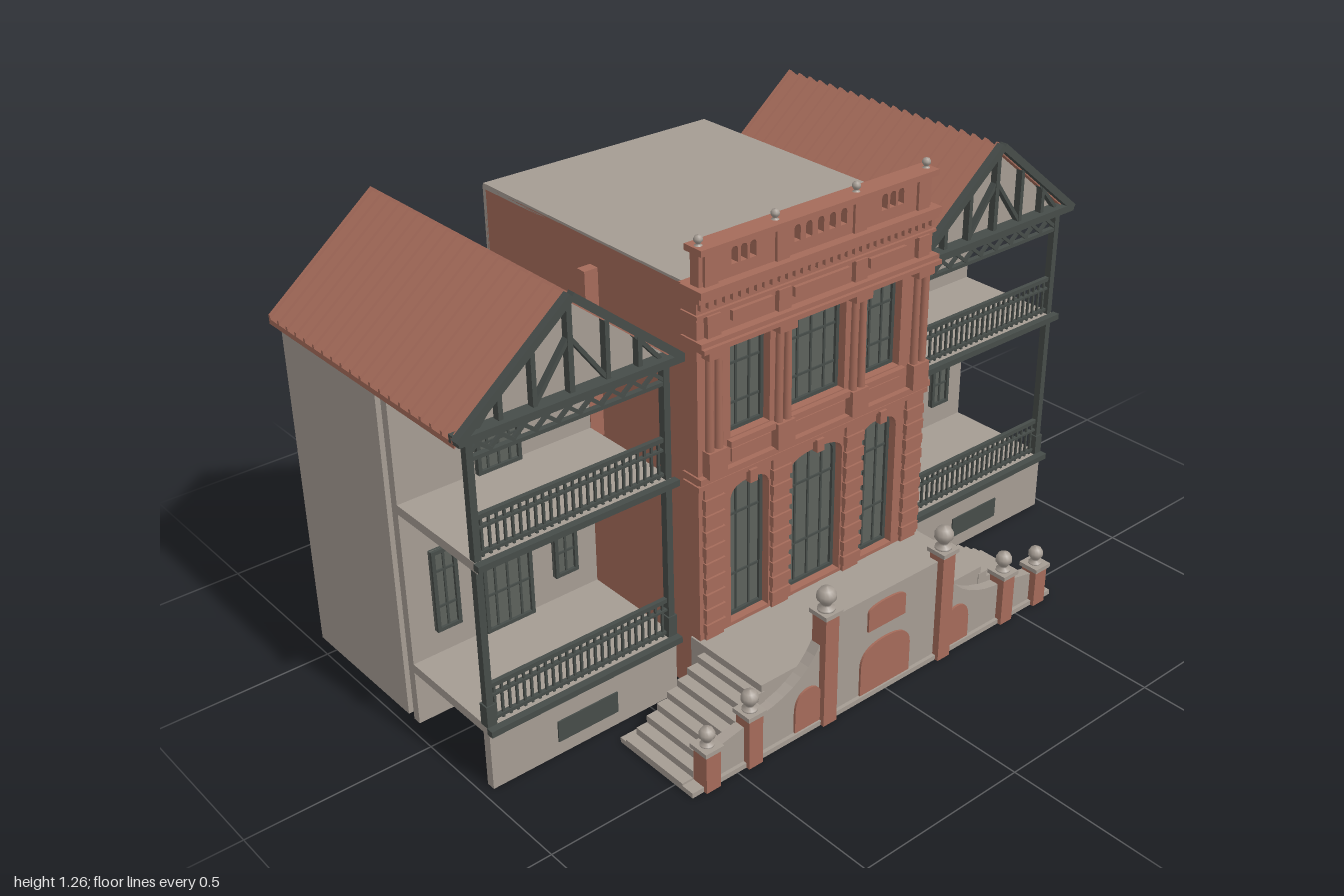
import * as THREE from 'three';

const mat = (name, color) => Object.assign(new THREE.MeshStandardMaterial({ color }), { name });
const brick = mat('brick', 0xa56b5a), stone = mat('stone', 0xa59c93);
const iron = mat('dark iron', 0x464c49), glass = mat('window glass', 0x5d615c);

function add(parent, name, geometry, material) {
  const mesh = new THREE.Mesh(geometry, material);
  mesh.name = name;
  parent.add(mesh);
  return mesh;
}
function group(parent, name) {
  const g = new THREE.Group();
  g.name = name;
  parent.add(g);
  return g;
}
// Box given by its limits on each axis
function box(parent, name, m, x0, x1, y0, y1, z0, z1) {
  const mesh = add(parent, name, new THREE.BoxGeometry(x1 - x0, y1 - y0, z1 - z0), m);
  mesh.position.set((x0 + x1) / 2, (y0 + y1) / 2, (z0 + z1) / 2);
  return mesh;
}
// Bar between two points of an upright plane
function bar(parent, name, m, x0, y0, x1, y1, t, z0, z1) {
  const mesh = add(parent, name, new THREE.BoxGeometry(Math.hypot(x1 - x0, y1 - y0), t, z1 - z0), m);
  mesh.position.set((x0 + x1) / 2, (y0 + y1) / 2, (z0 + z1) / 2);
  mesh.rotation.z = Math.atan2(y1 - y0, x1 - x0);
}
function extrude(parent, name, m, shape, z0, z1) {
  const geo = new THREE.ExtrudeGeometry(shape, { depth: z1 - z0, bevelEnabled: false, curveSegments: 10 });
  return add(parent, name, geo.translate(0, 0, z0), m);
}
function polygon(points) {
  return new THREE.Shape(points.map(([x, y]) => new THREE.Vector2(x, y)));
}
// Rectangle with a curved head
function arch(x, y, w, h, rise, Type = THREE.Shape) {
  const s = new Type(), a = x - w / 2, b = x + w / 2;
  s.moveTo(a, y);
  s.lineTo(b, y);
  s.lineTo(b, y + h - rise);
  if (rise) s.bezierCurveTo(b, y + h - rise * 0.3, x + w * 0.3, y + h, x, y + h);
  else s.lineTo(b, y + h);
  if (rise) s.bezierCurveTo(x - w * 0.3, y + h, a, y + h - rise * 0.3, a, y + h - rise);
  else s.lineTo(a, y + h);
  s.closePath();
  return s;
}
// Glazed opening with iron frame and glazing bars
function glazing(parent, name, x, y, w, h, rise, z, columns) {
  const g = group(parent, name);
  extrude(g, 'glass', glass, arch(x, y, w, h, rise), z, z + 0.006);
  const frame = arch(x, y, w, h, rise);
  frame.holes.push(arch(x, y + 0.01, w - 0.02, h - 0.02, rise * 0.9, THREE.Path));
  extrude(g, 'frame', iron, frame, z - 0.004, z + 0.014);
  for (let i = 1; i < columns; i++) {
    const bx = x - w / 2 + w * i / columns;
    box(g, 'glazingBar', iron, bx - 0.003, bx + 0.003, y, y + h - rise * 0.6, z, z + 0.01);
  }
  for (const f of [0.3, 0.74]) box(g, 'transom', iron, x - w / 2, x + w / 2, y + h * f - 0.003, y + h * f + 0.003, z, z + 0.01);
}
function railing(parent, x0, x1, y, z) {
  const g = group(parent, 'railing');
  for (const [a, b] of [[0.008, 0.016], [0.075, 0.081], [0.1, 0.112]]) box(g, 'rail', iron, x0, x1, y + a, y + b, z - 0.006, z + 0.006);
  const n = 26;
  for (let i = 0; i <= n; i++) {
    const x = x0 + (x1 - x0) * i / n;
    box(g, 'baluster', iron, x - 0.003, x + 0.003, y, y + 0.105, z - 0.003, z + 0.003);
  }
}
// Roof section, raised by d over its base slope
function chevron(d, t) {
  const w = 0.308;
  return polygon([[-w, 0.95 + d], [-w, 0.95 + d - t], [0, 1.2 + d - t], [w, 0.95 + d - t], [w, 0.95 + d], [0, 1.2 + d]]);
}

function wing(parent, name, x) {
  const g = group(parent, name);
  g.position.x = x;
  box(g, 'rearBody', stone, -0.28, 0.28, 0, 0.945, -0.575, -0.145);
  box(g, 'verandaBackWall', stone, -0.28, 0.28, 0, 0.945, -0.12, -0.095);
  box(g, 'baseWall', stone, -0.28, 0.28, 0, 0.165, 0.205, 0.23);
  box(g, 'vent', iron, -0.09, 0.09, 0.04, 0.1, 0.23, 0.234);
  box(g, 'verandaCeiling', stone, -0.28, 0.28, 0.94, 0.95, -0.145, 0.23);
  for (const y of [0.18, 0.635]) {
    box(g, 'verandaFloor', stone, -0.28, 0.28, y - 0.025, y, -0.095, 0.235);
    box(g, 'floorEdge', iron, -0.285, 0.285, y - 0.015, y + 0.002, 0.23, 0.25);
    railing(g, -0.27, 0.27, y, 0.215);
  }
  // Doors and sidelights
  glazing(g, 'lowerDoor', 0, 0.18, 0.145, 0.355, 0.03, -0.093, 4);
  glazing(g, 'upperDoor', 0, 0.635, 0.125, 0.265, 0, -0.093, 4);
  box(g, 'lowerDoorBack', iron, -0.07, 0.07, 0.2, 0.53, -0.13, -0.12);
  box(g, 'upperDoorBack', iron, -0.06, 0.06, 0.64, 0.9, -0.13, -0.12);
  for (const s of [-1, 1]) {
    glazing(g, 'sidelight', s * 0.177, 0.25, 0.07, 0.23, 0, -0.093, 2);
    // Posts
    box(g, 'post', iron, s * 0.27 - 0.009, s * 0.27 + 0.009, 0.18, 0.95, 0.207, 0.227);
    box(g, 'postBase', iron, s * 0.27 - 0.013, s * 0.27 + 0.013, 0.18, 0.24, 0.203, 0.231);
    // Gable timbers
    bar(g, 'bargeboard', iron, s * 0.308, 0.953, 0, 1.203, 0.02, 0.228, 0.25);
    for (const [px, top] of [[0.1, 1.11], [0.19, 1.04]]) box(g, 'stud', iron, s * px - 0.006, s * px + 0.006, 0.96, top, 0.215, 0.235);
    bar(g, 'brace', iron, s * 0.1, 0.965, 0, 1.1, 0.01, 0.215, 0.233);
    bar(g, 'brace', iron, s * 0.25, 0.965, s * 0.18, 1.045, 0.01, 0.215, 0.233);
  }
  box(g, 'kingPost', iron, -0.007, 0.007, 0.96, 1.2, 0.215, 0.235);
  box(g, 'tieBeam', iron, -0.308, 0.308, 0.945, 0.965, 0.21, 0.25);
  box(g, 'friezeBeam', iron, -0.27, 0.27, 0.887, 0.897, 0.21, 0.225);
  // Lattice frieze
  for (let i = 0; i < 9; i++) {
    const a = -0.27 + i * 0.06, b = a + 0.06;
    bar(g, 'lattice', iron, a, 0.897, b, 0.945, 0.009, 0.21, 0.218);
    bar(g, 'lattice', iron, a, 0.945, b, 0.897, 0.009, 0.218, 0.225);
  }
  extrude(g, 'gableWall', stone, polygon([[-0.29, 0.95], [0.29, 0.95], [0, 1.187]]), 0.195, 0.21);
  // Roof with standing seams
  extrude(g, 'roof', brick, chevron(0, 0.014), -0.575, 0.23);
  for (let i = 0; i < 20; i++) extrude(g, 'roofSeam', brick, chevron(0.01, 0.014), -0.575 + i * 0.0418, -0.567 + i * 0.0418);
}

function finial(parent, x, y, z, r) {
  const profile = [[0, 0], [r * 0.9, 0], [r * 0.9, r * 0.3], [r * 0.45, r * 0.5], [r * 0.55, r * 0.8], [r, r * 1.35],
    [r, r * 1.85], [r * 0.7, r * 2.4], [0, r * 2.65]].map(([a, b]) => new THREE.Vector2(a, b));
  add(parent, 'ballFinial', new THREE.LatheGeometry(profile, 14), stone).position.set(x, y, z);
}

function facade(parent) {
  const g = group(parent, 'brickFacade');
  const bays = [[-0.222, 0.125, 3], [0, 0.18, 4], [0.222, 0.125, 3]];
  const wall = polygon([[-0.385, 0], [0.385, 0], [0.385, 1.14], [-0.385, 1.14]]);
  for (const [x, w, n] of bays) {
    wall.holes.push(arch(x, 0.19, w, 0.4, 0.04, THREE.Path), arch(x, 0.725, w, 0.24, 0, THREE.Path));
    glazing(g, 'lowerWindow', x, 0.19, w, 0.4, 0.04, 0.255, n);
    glazing(g, 'upperWindow', x, 0.725, w, 0.24, 0, 0.255, n);
    box(g, 'windowSill', brick, x - w / 2 - 0.01, x + w / 2 + 0.01, 0.705, 0.722, 0.29, 0.308);
    box(g, 'sillPanel', brick, x - w / 2, x + w / 2, 0.66, 0.695, 0.29, 0.298);
    box(g, 'upperPanel', brick, x - w / 2, x + w / 2, 1.035, 1.06, 0.29, 0.302);
    box(g, 'keystone', brick, x - 0.012, x + 0.012, 0.585, 0.62, 0.29, 0.308);
  }
  extrude(g, 'wall', brick, wall, 0.23, 0.292);
  // Piers below, paired columns above
  for (const x of [-0.343, -0.125, 0.125, 0.343]) {
    const w = 0.028;
    box(g, 'lowerPier', brick, x - w, x + w, 0, 0.62, 0.29, 0.3);
    for (let i = 0; i < 9; i++) box(g, 'quoin', brick, x - w - 0.003, x + w + 0.003, 0.2 + i * 0.045, 0.227 + i * 0.045, 0.29, 0.306);
    box(g, 'columnPedestal', brick, x - w, x + w, 0.65, 0.72, 0.29, 0.318);
    for (const s of [-1, 1]) {
      const c = add(g, 'column', new THREE.CylinderGeometry(0.009, 0.011, 0.25, 12), brick);
      c.position.set(x + s * 0.014, 0.845, 0.302);
    }
    box(g, 'columnCapital', brick, x - w, x + w, 0.965, 0.99, 0.29, 0.32);
    box(g, 'friezeBlock', brick, x - 0.02, x + 0.02, 1.015, 1.07, 0.29, 0.306);
    box(g, 'parapetPier', brick, x - 0.02, x + 0.02, 1.14, 1.22, 0.258, 0.298);
  }
  // String courses and cornices: bottom, top, front depth
  for (const [a, b, z] of [[0.615, 0.628, 0.3], [0.636, 0.652, 0.308], [0.988, 1.0, 0.325], [1.0, 1.012, 0.315],
    [1.068, 1.076, 0.3], [1.108, 1.122, 0.308], [1.122, 1.14, 0.316]]) box(g, 'cornice', brick, -0.39, 0.39, a, b, 0.24, z);
  for (let i = 0; i < 32; i++) {
    const x = -0.375 + i * 0.0242;
    box(g, 'dentil', brick, x - 0.006, x + 0.006, 1.088, 1.108, 0.29, 0.302);
  }
  // Pierced parapet
  const parapet = polygon([[-0.375, 1.14], [0.375, 1.14], [0.375, 1.225], [-0.375, 1.225]]);
  for (const x of [-0.268, -0.24, -0.212, -0.075, -0.038, 0, 0.038, 0.075, 0.212, 0.24, 0.268]) parapet.holes.push(arch(x, 1.17, 0.02, 0.042, 0.012, THREE.Path));
  extrude(g, 'parapet', brick, parapet, 0.26, 0.29);
  box(g, 'parapetCap', brick, -0.382, 0.382, 1.222, 1.238, 0.248, 0.308);
  for (const x of [-0.365, -0.135, 0.125, 0.365]) finial(g, x, 1.235, 0.278, 0.011);
}

function staircase(parent) {
  const g = group(parent, 'entranceStair');
  box(g, 'base', stone, -0.64, 0.64, 0, 0.014, 0.29, 0.565);
  box(g, 'landing', stone, -0.39, 0.39, 0.014, 0.18, 0.262, 0.525);
  const wall = new THREE.Shape();
  wall.moveTo(-0.6, 0.01);
  wall.lineTo(0.6, 0.01);
  wall.lineTo(0.6, 0.09);
  wall.lineTo(0.45, 0.12);
  wall.quadraticCurveTo(0.25, 0.13, 0.2, 0.3);
  wall.lineTo(-0.2, 0.3);
  wall.quadraticCurveTo(-0.25, 0.13, -0.45, 0.12);
  wall.lineTo(-0.6, 0.09);
  extrude(g, 'frontWall', stone, wall, 0.525, 0.555);
  // Brick panels in the front wall
  extrude(g, 'archPanel', brick, arch(0, 0.015, 0.175, 0.145, 0.06), 0.555, 0.561);
  extrude(g, 'upperPanel', brick, arch(0, 0.2, 0.13, 0.075, 0.02), 0.555, 0.561);
  for (const s of [-1, 1]) {
    extrude(g, 'sideArchPanel', brick, arch(s * 0.265, 0.015, 0.09, 0.115, 0.06), 0.555, 0.561);
    for (let i = 0; i < 8; i++) {
      const a = s * 0.38, b = s * (0.64 - i * 0.0325), y = 0.02 * (i + 1);
      box(g, 'step', stone, Math.min(a, b), Math.max(a, b), i ? y - 0.02 : 0.014, y, 0.312, 0.527);
    }
    // Gate piers: centre, height, ball radius
    for (const [x, h, r] of [[0.205, 0.32, 0.025], [0.45, 0.145, 0.022], [0.583, 0.11, 0.02]]) {
      box(g, 'pier', brick, s * x - 0.022, s * x + 0.022, 0, h, 0.527, 0.575);
      box(g, 'pierCap', stone, s * x - 0.028, s * x + 0.028, h, h + 0.012, 0.521, 0.581);
      finial(g, s * x, h + 0.01, 0.551, r);
    }
  }
}

export function createModel() {
  const model = new THREE.Group();
  model.name = 'house';
  // Central block, open below
  const core = group(model, 'centralBlock');
  for (const s of [-1, 1]) {
    const a = s * 0.355, b = s * 0.37;
    box(core, 'sideWall', brick, Math.min(a, b), Math.max(a, b), 0, 1.128, -0.57, 0.235);
    const c = s * 0.41;
    box(core, 'chimney', brick, Math.min(b, c), Math.max(b, c), 0.6, 1.06, -0.125, -0.095);
  }
  box(core, 'backWall', stone, -0.37, 0.37, 0, 1.13, -0.578, -0.565);
  box(core, 'flatRoof', stone, -0.37, 0.37, 1.12, 1.135, -0.575, 0.235);
  facade(model);
  staircase(model);
  wing(model, 'leftWing', 0.692);
  wing(model, 'rightWing', -0.692);
  return model;
}
